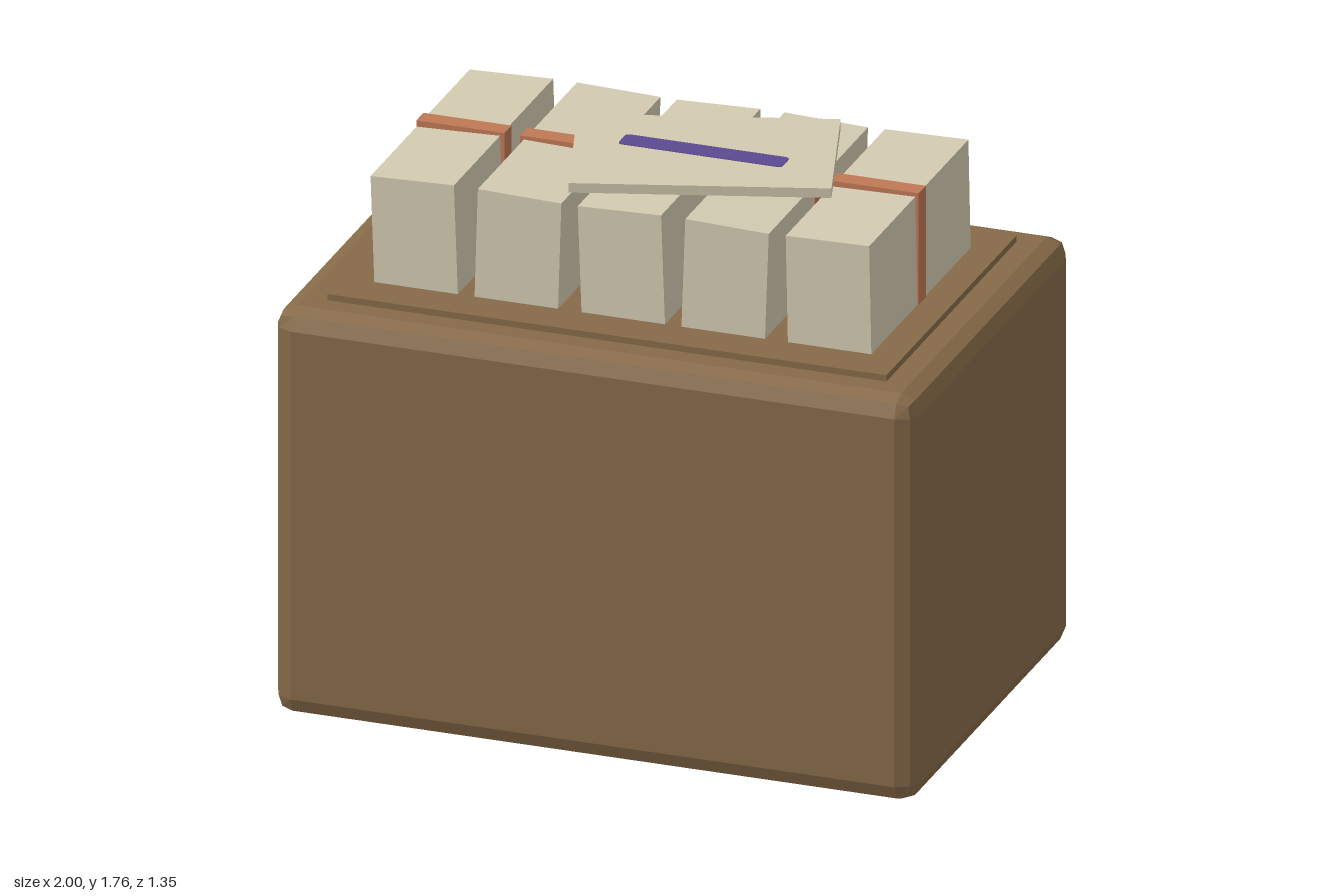
import * as THREE from 'three';
import { RoundedBoxGeometry } from 'three/addons/geometries/RoundedBoxGeometry.js';

const paint = (name, color) => {
  const m = new THREE.MeshStandardMaterial({ color });
  m.name = name;
  return m;
};

export function createModel() {
  const brown = paint('brown', 0x866a48);
  const cream = paint('cream paper', 0xd2cab0);
  const rust = paint('rust strap', 0xc07855);
  const violet = paint('violet ink', 0x5c4a90);

  const model = new THREE.Group();
  const add = (parent, name, geometry, material, x, y, z) => {
    const mesh = new THREE.Mesh(geometry, material);
    mesh.name = name;
    mesh.position.set(x, y, z);
    parent.add(mesh);
    return mesh;
  };
  const box = (w, h, d) => new THREE.BoxGeometry(w, h, d);

  // Chest with faceted, rounded edges
  const chest = new RoundedBoxGeometry(2, 1.29, 1.35, 1, 0.06);
  chest.computeVertexNormals();
  add(model, 'chest', chest, brown, 0, 0.645, 0);
  add(model, 'topPanel', box(1.74, 0.03, 1.1), brown, 0, 1.295, 0);

  // Row of slightly leaning paper bundles, each with an upright strap
  const leans = [0.035, -0.03, 0.035, -0.035, 0.02];
  leans.forEach((lean, i) => {
    const bundle = new THREE.Group();
    bundle.name = 'bundle' + (i + 1);
    bundle.position.set((i - 2) * 0.3225 - 0.003, 0, 0);
    add(bundle, 'paperStack', box(0.26, 0.36, 0.84), cream, 0, 1.47, 0).rotation.z = lean;
    add(bundle, 'strap', box(0.274, 0.37, 0.06), rust, 0, 1.48, 0);
    model.add(bundle);
  });

  // Loose card above the bundles with a painted mark
  add(model, 'card', box(0.77, 0.03, 0.514), cream, 0.16, 1.745, 0.16).rotation.y = 0.3;

  const w = 0.255, h = 0.037, r = 0.015;
  const mark = new THREE.Shape();
  mark.moveTo(-w + r, -h);
  mark.lineTo(w - r, -h).quadraticCurveTo(w, -h, w, -h + r);
  mark.lineTo(w, h - r).quadraticCurveTo(w, h, w - r, h);
  mark.lineTo(-w + r, h).quadraticCurveTo(-w, h, -w, h - r);
  mark.lineTo(-w, -h + r).quadraticCurveTo(-w, -h, -w + r, -h);
  const plate = new THREE.ExtrudeGeometry(mark, { depth: 0.004, bevelEnabled: false, curveSegments: 4 });
  add(model, 'inkMark', plate, violet, 0.158, 1.758, 0.16).rotation.x = -Math.PI / 2;

  return model;
}
